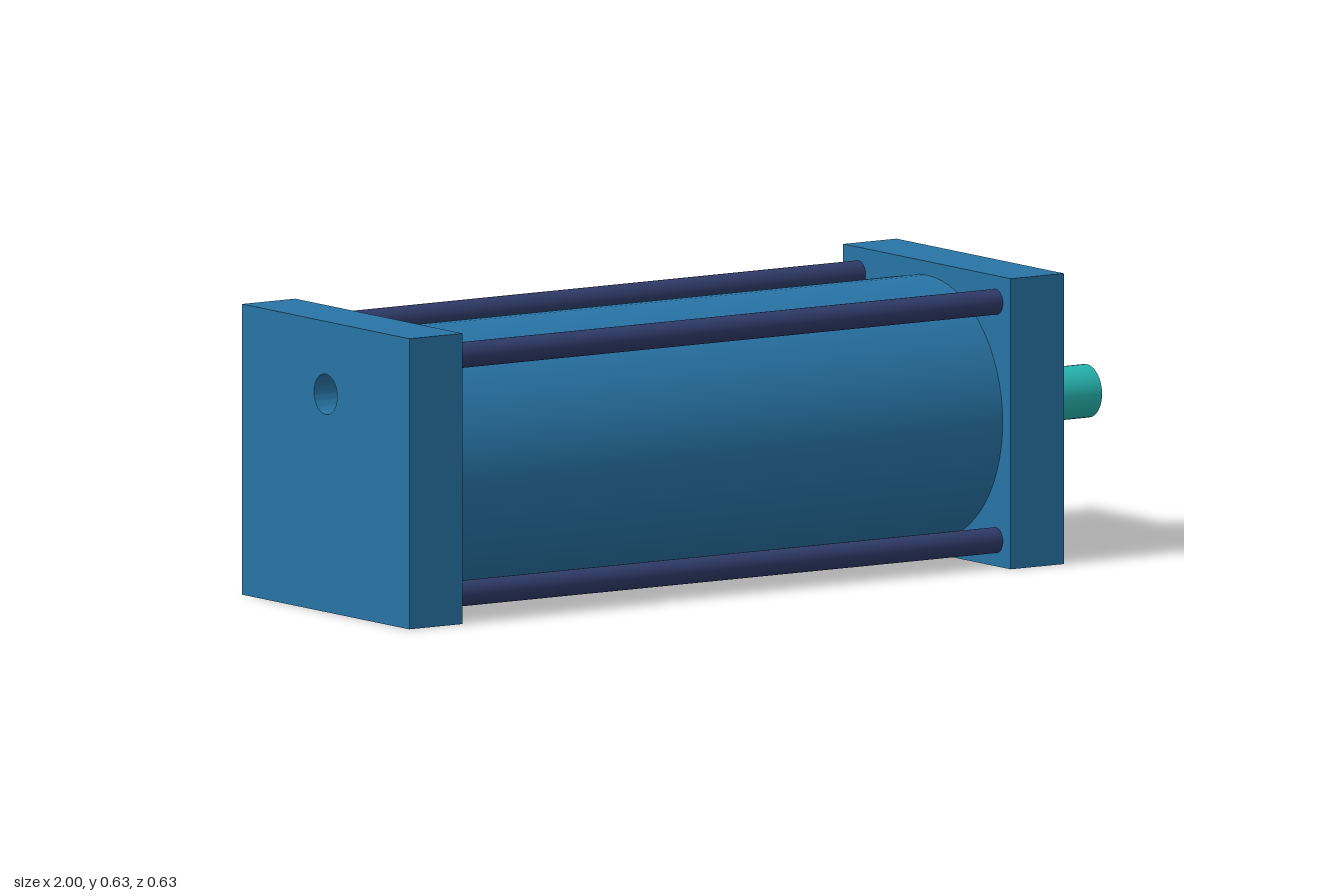
import * as THREE from 'three';
import { toCreasedNormals } from 'three/addons/utils/BufferGeometryUtils.js';

const SIZE = 0.634, HALF = SIZE / 2;
const LEFT_END = -1, BARREL_START = -0.86, BARREL_END = 0.58, RIGHT_END = 0.72;
const PORT_R = 0.044, PORT_Y = 0.158;

function material(name, color) {
  const m = new THREE.MeshStandardMaterial({ color });
  m.name = name;
  return m;
}

// Circular hole in a cross-section
function hole(x, y, r) {
  return new THREE.Path().absarc(x, y, r, 0, Math.PI * 2, true);
}

// Extrude a cross-section along x from x0 to x1
function extrudeX(shape, x0, x1) {
  const g = new THREE.ExtrudeGeometry(shape, { depth: x1 - x0, bevelEnabled: false, curveSegments: 32 });
  g.rotateY(Math.PI / 2).translate(x0, 0, 0);
  return toCreasedNormals(g, 0.6);
}

// Solid round bar along x from x0 to x1
function barX(r, x0, x1, segments = 32) {
  const g = new THREE.CylinderGeometry(r, r, x1 - x0, segments);
  return g.rotateZ(-Math.PI / 2).translate((x0 + x1) / 2, 0, 0);
}

function squareShape() {
  return new THREE.Shape([
    new THREE.Vector2(-HALF, -HALF), new THREE.Vector2(HALF, -HALF),
    new THREE.Vector2(HALF, HALF), new THREE.Vector2(-HALF, HALF),
  ]);
}

export function createModel() {
  const blue = material('body blue', 0x2874a6);
  const navy = material('tie rod navy', 0x2f3b69);
  const teal = material('piston rod teal', 0x26b5af);
  const orange = material('piston orange', 0xe3852a);

  const model = new THREE.Group();
  model.name = 'pneumaticCylinder';
  const add = (name, geometry, mat, y = 0, z = 0) => {
    const mesh = new THREE.Mesh(geometry, mat);
    mesh.name = name;
    mesh.position.set(0, HALF + y, z);
    model.add(mesh);
  };

  // End caps: both have an air port, the right one also passes the rod
  const rear = squareShape();
  rear.holes.push(hole(0, PORT_Y, PORT_R));
  add('rearCap', extrudeX(rear, LEFT_END, BARREL_START), blue);

  const front = squareShape();
  front.holes.push(hole(0, PORT_Y, PORT_R), hole(0, 0, 0.061));
  add('frontCap', extrudeX(front, BARREL_END, RIGHT_END), blue);

  // Hollow barrel between the caps
  const ring = new THREE.Shape().absarc(0, 0, 0.287, 0, Math.PI * 2, false);
  ring.holes.push(hole(0, 0, 0.255));
  add('barrel', extrudeX(ring, BARREL_START, BARREL_END), blue);

  // Piston inside the barrel and its rod
  add('piston', barX(0.253, -0.5, -0.36, 64), orange);
  add('pistonRod', barX(0.058, -0.36, 1), teal);

  // Four tie rods at the corners
  for (const sy of [-1, 1]) {
    for (const sz of [-1, 1]) {
      add('tieRod', barX(0.028, LEFT_END + 0.003, RIGHT_END - 0.003, 24), navy, sy * 0.26, sz * 0.26);
    }
  }
  return model;
}
